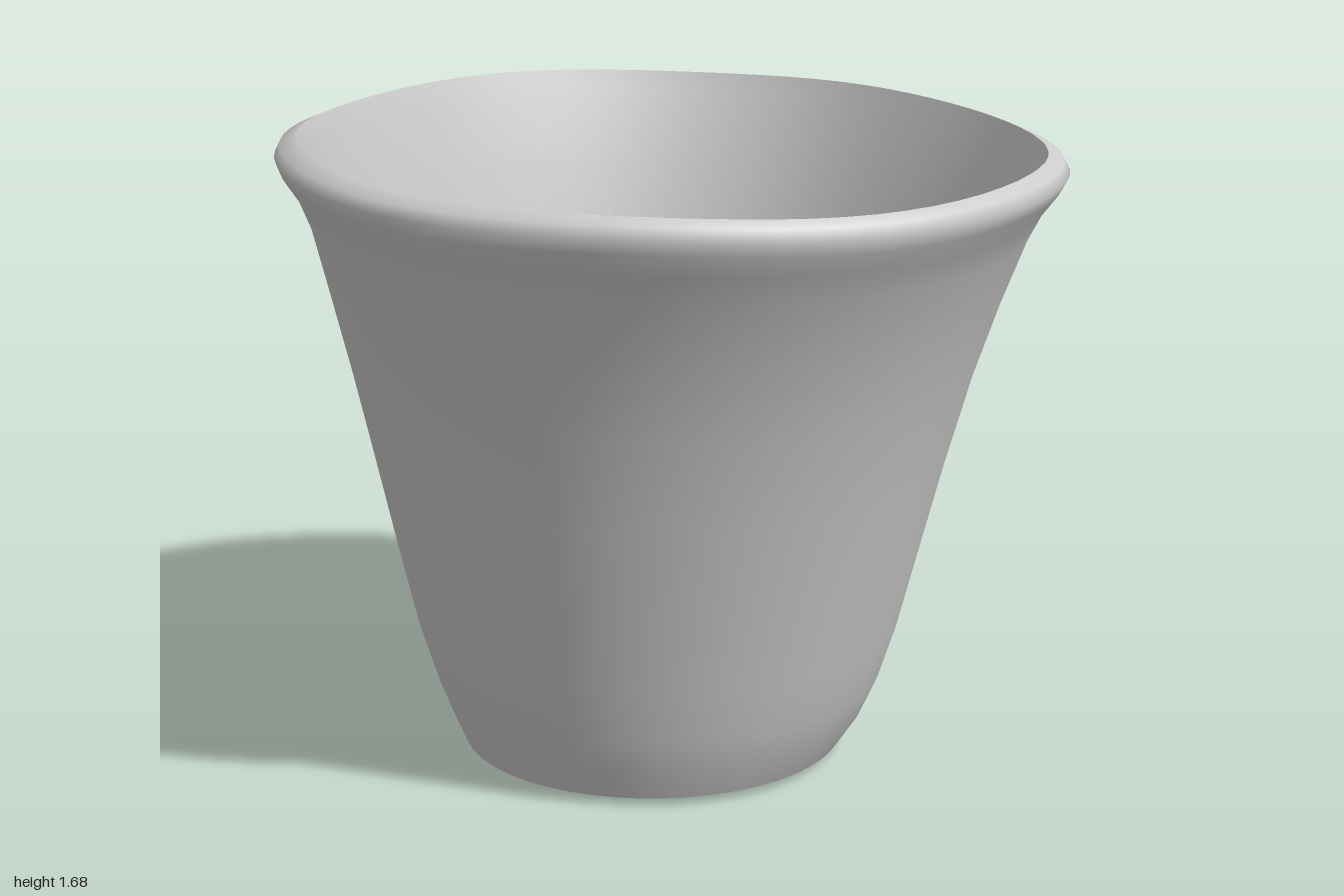
import * as THREE from 'three';

const SEGMENTS = 72;

// Slightly uneven hand-made outline: flattened toward the back left, gently wavy
function outline(a, wobble) {
  const d = Math.atan2(Math.sin(a + 0.86), Math.cos(a + 0.86));
  return 1 - wobble * (0.035 * Math.exp(-d * d * 7) - 0.006 * Math.sin(3 * a + 0.5));
}

// Skin a stack of rings: [minX, maxX, minZ, maxZ, y, wobble]; wobble also tilts the ring
function loft(rings) {
  const positions = [], index = [];
  for (const [x0, x1, z0, z1, y, w] of rings) {
    for (let j = 0; j < SEGMENTS; j++) {
      const a = (j / SEGMENTS) * Math.PI * 2;
      const k = outline(a, w);
      const c = Math.cos(a) * k, s = Math.sin(a) * k;
      positions.push(
        (x0 + x1) / 2 + c * (x1 - x0) / 2,
        y + w * (-0.022 * c - 0.034 * s + 0.005 * Math.sin(5 * a)),
        (z0 + z1) / 2 + s * (z1 - z0) / 2);
    }
  }
  for (let i = 0; i < rings.length - 1; i++) {
    for (let j = 0; j < SEGMENTS; j++) {
      const n = (j + 1) % SEGMENTS;
      const a = i * SEGMENTS + j, b = i * SEGMENTS + n;
      const c = a + SEGMENTS, d = b + SEGMENTS;
      index.push(a, c, b, b, c, d);
    }
  }
  const g = new THREE.BufferGeometry();
  g.setAttribute('position', new THREE.Float32BufferAttribute(positions, 3));
  g.setIndex(index);
  g.computeVertexNormals();
  return g;
}

// Square ring around the drain hole
const hole = (r, y) => [-0.175 - r, -0.175 + r, 0.025 - r, 0.025 + r, y, 0];

export function createModel() {
  const pot = new THREE.Group();
  pot.name = 'flowerPot';
  const clay = new THREE.MeshStandardMaterial({ color: 0xcccccc });
  clay.name = 'greyClay';

  const baseEdge = [-0.56, 0.45, -0.56, 0.47, 0.02, 0];
  const rimEdge = [-0.945, 0.945, -0.935, 0.945, 1.632, 1];
  const floorEdge = [-0.48, 0.42, -0.52, 0.41, 0.1, 0];

  const parts = {
    // Flared wall rolling over into the rim
    outerWall: [
      baseEdge,
      [-0.595, 0.505, -0.60, 0.505, 0.1, 0],
      [-0.635, 0.55, -0.64, 0.54, 0.2, 0.05],
      [-0.68, 0.595, -0.685, 0.575, 0.34, 0.1],
      [-0.73, 0.65, -0.74, 0.635, 0.56, 0.2],
      [-0.78, 0.71, -0.78, 0.70, 0.8, 0.3],
      [-0.83, 0.775, -0.81, 0.765, 1.04, 0.4],
      [-0.875, 0.84, -0.855, 0.835, 1.24, 0.5],
      [-0.915, 0.905, -0.90, 0.91, 1.42, 0.7],
      [-0.945, 0.94, -0.94, 0.95, 1.495, 0.9],
      [-0.985, 0.98, -0.975, 0.975, 1.55, 1],
      [-1, 1, -0.99, 0.985, 1.585, 1],
      [-0.985, 0.985, -0.975, 0.975, 1.615, 1],
      rimEdge,
    ],
    // Inside of the wall
    innerWall: [
      rimEdge,
      [-0.925, 0.925, -0.92, 0.925, 1.58, 1],
      [-0.87, 0.855, -0.855, 0.855, 1.4, 0.7],
      [-0.775, 0.72, -0.765, 0.715, 1.04, 0.4],
      [-0.675, 0.60, -0.69, 0.585, 0.58, 0.2],
      [-0.61, 0.535, -0.63, 0.52, 0.34, 0.1],
      [-0.55, 0.48, -0.58, 0.465, 0.19, 0],
      floorEdge,
    ],
    // Floor dipping toward the off-centre drain
    floor: [
      floorEdge,
      [-0.40, 0.24, -0.34, 0.29, 0.1, 0],
      [-0.32, 0.04, -0.14, 0.17, 0.098, 0],
      hole(0.085, 0.09),
      hole(0.055, 0.07),
      hole(0.04, 0.05),
    ],
    // Underside rising into the drain
    underside: [
      hole(0.04, 0.05),
      hole(0.05, 0.032),
      hole(0.085, 0.014),
      [-0.32, 0.04, -0.14, 0.17, 0.002, 0],
      [-0.43, 0.25, -0.36, 0.34, 0, 0],
      baseEdge,
    ],
  };

  for (const [name, rings] of Object.entries(parts)) {
    const mesh = new THREE.Mesh(loft(rings), clay);
    mesh.name = name;
    pot.add(mesh);
  }
  return pot;
}
